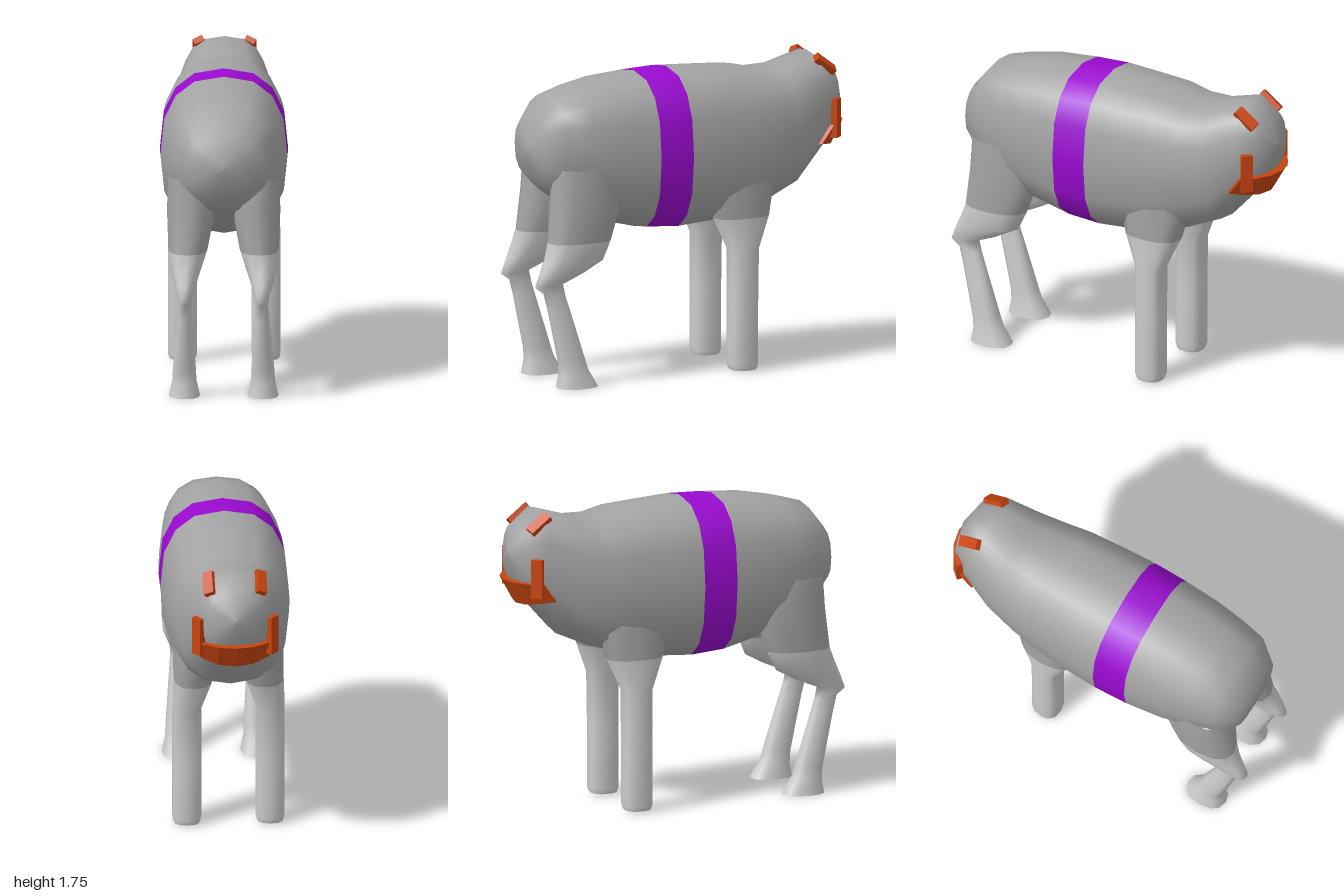
import * as THREE from 'three';

const mat = (color, flatShading = false) => new THREE.MeshStandardMaterial({ color, flatShading });

// Each ring is [z1, y1, z2, y2, halfWidth, centreX]: two opposite points in the
// side plane and a width across. Normals come from the whole loft; only the
// strips from..to are kept so that neighbouring colours shade continuously.
function loft(rings, segs, power, from = 0, to = rings.length - 1) {
  const pos = [], index = [];
  for (const [z1, y1, z2, y2, w, cx = 0] of rings) {
    for (let i = 0; i < segs; i++) {
      const t = (i / segs) * Math.PI * 2;
      const round = (v) => Math.sign(v) * Math.pow(Math.abs(v), power);
      const c = round(Math.cos(t)), s = round(Math.sin(t));
      pos.push(cx + w * c, (y1 + y2) / 2 + s * (y1 - y2) / 2, (z1 + z2) / 2 + s * (z1 - z2) / 2);
    }
  }
  for (let k = 0; k < rings.length - 1; k++) {
    for (let i = 0; i < segs; i++) {
      const j = (i + 1) % segs, a = k * segs, b = a + segs;
      index.push(a + i, b + i, a + j, a + j, b + i, b + j);
    }
  }
  const g = new THREE.BufferGeometry();
  g.setAttribute('position', new THREE.Float32BufferAttribute(pos, 3));
  g.setIndex(index);
  g.computeVertexNormals();
  g.setIndex(index.slice(from * segs * 6, to * segs * 6));
  return g;
}

export function createModel() {
  const model = new THREE.Group();
  const coat = mat(0xa4a4a4), pale = mat(0xcccccc), purple = mat(0x9a0ad0), orange = mat(0xc8440f, true);
  const add = (name, geometry, material) => {
    const mesh = new THREE.Mesh(geometry, material);
    mesh.name = name;
    model.add(mesh);
    return mesh;
  };

  // Body from rump to head: top point, bottom point, half width
  const body = [
    [0.95, 1.33, 0.95, 1.33, 0],
    [0.925, 1.5, 0.925, 1.17, 0.2],
    [0.82, 1.63, 0.83, 1.07, 0.28],
    [0.67, 1.675, 0.66, 0.97, 0.315],
    [0.5, 1.71, 0.5, 0.89, 0.34],
    [0.28, 1.727, 0.28, 0.835, 0.356],
    [0.08, 1.735, 0.08, 0.82, 0.36],
    [-0.13, 1.723, -0.13, 0.835, 0.353],
    [-0.33, 1.71, -0.33, 0.875, 0.338],
    [-0.46, 1.68, -0.48, 0.92, 0.318],
    [-0.6, 1.685, -0.68, 1.01, 0.285],
    [-0.8, 1.745, -0.86, 1.21, 0.233],
    [-0.92, 1.66, -0.945, 1.34, 0.16],
    [-0.975, 1.5, -0.975, 1.5, 0],
  ];
  add('hindBody', loft(body, 16, 0.8, 0, 5), coat);
  add('bellyBand', loft(body, 16, 0.8, 5, 6), purple);
  add('foreBodyAndHead', loft(body, 16, 0.8, 6), coat);

  for (const side of [1, -1]) {
    const name = side > 0 ? 'left' : 'right';
    const place = (rings) => rings.map(([z1, y1, z2, y2, w, x]) => [z1, y1, z2, y2, w, x * side]);

    // Front leg: flared shoulder over a straight post, closed underneath
    const front = place([
      [-0.5, 1.1, -0.06, 1.1, 0.13, 0.18],
      [-0.455, 0.88, -0.12, 0.88, 0.11, 0.2],
      [-0.375, 0.7, -0.2, 0.7, 0.082, 0.234],
      [-0.37, 0.4, -0.2, 0.4, 0.082, 0.234],
      [-0.37, 0.04, -0.2, 0.04, 0.082, 0.234],
      [-0.36, 0.01, -0.21, 0.01, 0.075, 0.234],
      [-0.36, 0.01, -0.21, 0.01, 0.075, 0.234],
      [-0.285, 0.01, -0.285, 0.01, 0, 0.234],
    ]);
    add(name + 'Shoulder', loft(front, 12, 0.8, 0, 1), coat);
    add(name + 'FrontLeg', loft(front, 12, 0.8, 1), pale);

    // Hind leg: thigh, backward hock, slanted shank and hoof
    const hind = place([
      [0.48, 1.25, 0.87, 1.25, 0.12, 0.19],
      [0.46, 1.04, 0.885, 1.06, 0.135, 0.183],
      [0.53, 0.83, 0.91, 0.83, 0.11, 0.2],
      [0.58, 0.72, 0.94, 0.74, 0.088, 0.212],
      [0.7, 0.655, 0.975, 0.655, 0.062, 0.215],
      [0.83, 0.6, 1.0, 0.585, 0.042, 0.215],
      [0.815, 0.53, 0.95, 0.55, 0.036, 0.215],
      [0.79, 0.45, 0.925, 0.46, 0.042, 0.217],
      [0.7, 0.16, 0.855, 0.15, 0.065, 0.22],
      [0.68, 0.1, 0.85, 0.08, 0.068, 0.22],
      [0.62, 0, 0.865, 0, 0.088, 0.22],
      [0.62, 0, 0.865, 0, 0.088, 0.22],
      [0.74, 0, 0.74, 0, 0, 0.22],
    ]);
    add(name + 'Thigh', loft(hind, 12, 0.85, 0, 2), coat);
    add(name + 'HindLeg', loft(hind, 12, 0.85, 2), pale);

    // Brow patch over the eye
    const brow = add(name + 'Brow', new THREE.BoxGeometry(0.06, 0.035, 0.14), orange);
    brow.position.set(0.145 * side, 1.685, -0.845);
    brow.rotation.set(-0.65, 0, -0.5 * side);

    // Upright end of the mouth strip
    const cheek = add(name + 'MouthEnd', new THREE.BoxGeometry(0.065, 0.22, 0.04), orange);
    cheek.position.set(0.207 * side, 1.385, -0.882);
    cheek.rotation.y = -0.85 * side;
  }

  // Curved mouth strip wrapped round the chin and leaning back below
  const half = [[0.235, 0.86], [0.185, 0.925], [0.1, 0.98]];
  const outer = [...half, [0, 1], ...half.map(([x, y]) => [-x, y]).reverse()];
  const inner = outer.map(([x, y]) => [x * 0.82, y - 0.045]).reverse();
  const shape = new THREE.Shape([...outer, ...inner].map((p) => new THREE.Vector2(...p)));
  const mouth = new THREE.ExtrudeGeometry(shape, { depth: 0.14, bevelEnabled: false });
  mouth.rotateX(-Math.PI / 2);
  mouth.translate(0, 1.21, 0);
  const p = mouth.attributes.position;
  for (let i = 0; i < p.count; i++) {
    const drop = (1.35 - p.getY(i)) / 0.14;
    p.setZ(i, p.getZ(i) + 0.075 * drop);
    p.setY(i, p.getY(i) + 0.7 * p.getX(i) ** 2 * drop);
  }
  mouth.computeVertexNormals();
  add('mouthStrip', mouth, orange);

  return model;
}
